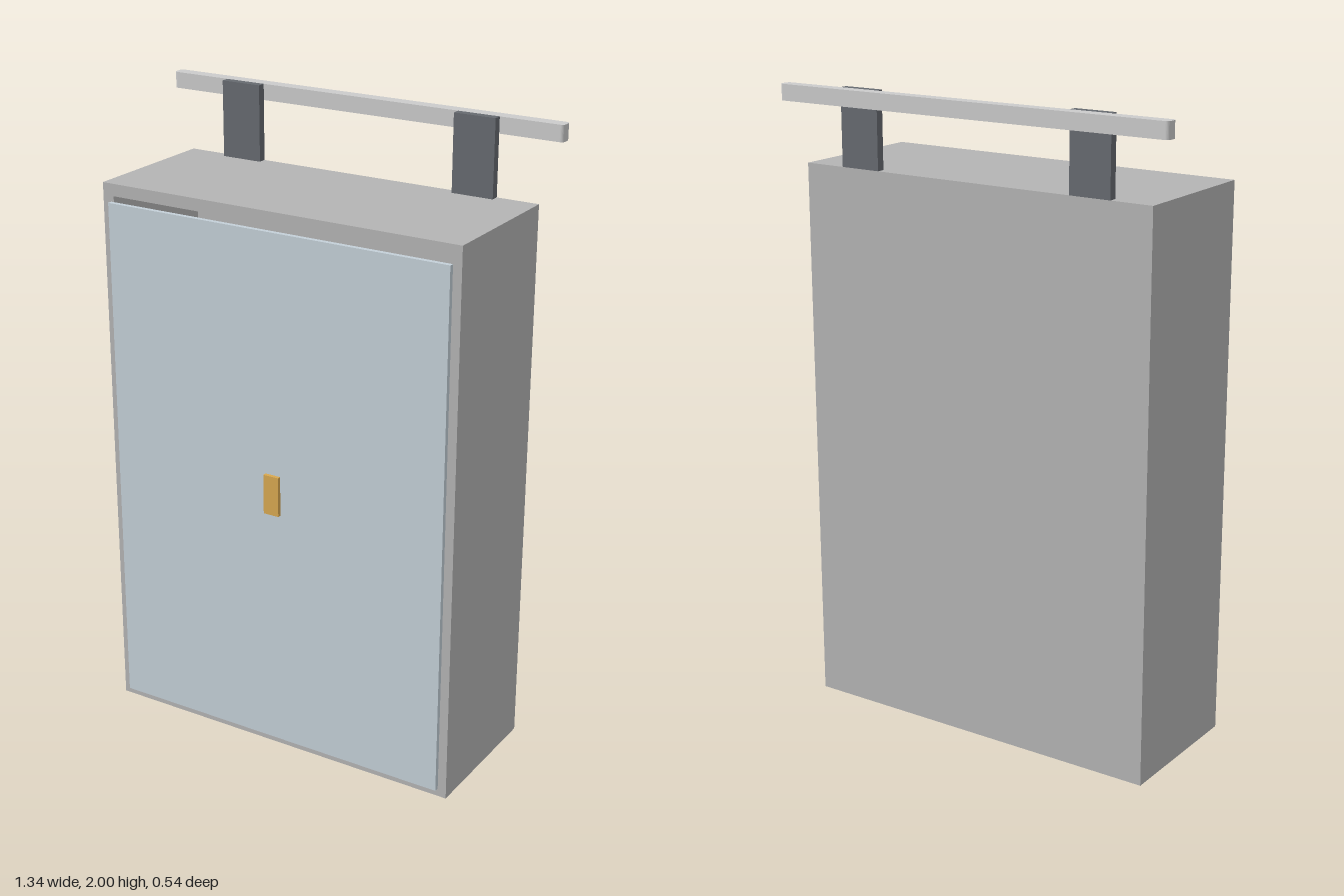
import * as THREE from 'three';

const mat = (color) => new THREE.MeshStandardMaterial({ color });

// Box from its minimum and maximum corners
function box(name, material, [x0, y0, z0], [x1, y1, z1]) {
  const mesh = new THREE.Mesh(new THREE.BoxGeometry(x1 - x0, y1 - y0, z1 - z0), material);
  mesh.position.set((x0 + x1) / 2, (y0 + y1) / 2, (z0 + z1) / 2);
  mesh.name = name;
  return mesh;
}

function rectangle(Type, x0, y0, x1, y1) {
  return new Type([[x0, y0], [x1, y0], [x1, y1], [x0, y1]].map(([x, y]) => new THREE.Vector2(x, y)));
}

// Rectangle with rounded corners, centred on the origin
function roundedRectangle(w, d, r) {
  const s = new THREE.Shape();
  const x = w / 2 - r, y = d / 2 - r;
  s.absarc(x, y, r, 0, Math.PI / 2);
  s.absarc(-x, y, r, Math.PI / 2, Math.PI);
  s.absarc(-x, -y, r, Math.PI, Math.PI * 1.5);
  s.absarc(x, -y, r, Math.PI * 1.5, Math.PI * 2);
  s.closePath();
  return s;
}

export function createModel() {
  const model = new THREE.Group();
  model.name = 'wallCabinet';
  const shell = mat(0xb4b4b4), steel = mat(0x666a70);
  const back = -0.227, front = 0.241, wall = 0.038;

  // Hollow housing: four walls around the cavity, closed by a back panel
  const housing = new THREE.Group();
  housing.name = 'housing';
  const outline = rectangle(THREE.Shape, -0.604, 0.016, 0.604, 1.762);
  outline.holes.push(rectangle(THREE.Path, -0.566, 0.016 + wall, 0.566, 1.762 - wall));
  const walls = new THREE.Mesh(
    new THREE.ExtrudeGeometry(outline, { depth: front - back, bevelEnabled: false }), shell);
  walls.position.z = back;
  walls.name = 'housingWalls';
  housing.add(walls, box('backPanel', shell,
    [-0.566, 0.016 + wall, back], [0.566, 1.762 - wall, back + wall]));
  model.add(housing);

  // Door leaves a narrow slot open along the top of the cavity
  model.add(box('door', mat(0xc4d0d8), [-0.576, 0.042, front], [0.576, 1.706, 0.256]));
  model.add(box('doorHandle', mat(0xd8a850), [-0.026, 0.826, 0.256], [0.026, 0.953, 0.268]));

  // Plate under the housing
  model.add(box('bottomPlate', mat(0x8a5fa0), [-0.47, 0, -0.155], [0.47, 0.016, 0.175]));

  // Hanging brackets
  for (const [side, name] of [[1, 'leftBracket'], [-1, 'rightBracket']]) {
    const bracket = box(name, steel, [-0.067, 1.762, back], [0.067, 2, -0.201]);
    bracket.position.x = side * 0.402;
    model.add(bracket);
  }

  // Mounting rail with rounded ends behind the brackets
  const rail = new THREE.Mesh(new THREE.ExtrudeGeometry(
    roundedRectangle(1.34, 0.041, 0.012), { depth: 0.05, bevelEnabled: false, curveSegments: 6 }),
  mat(0xcccccc));
  rail.rotation.x = -Math.PI / 2;
  rail.position.set(0, 1.95, back - 0.0205);
  rail.name = 'mountingRail';
  model.add(rail);

  return model;
}
